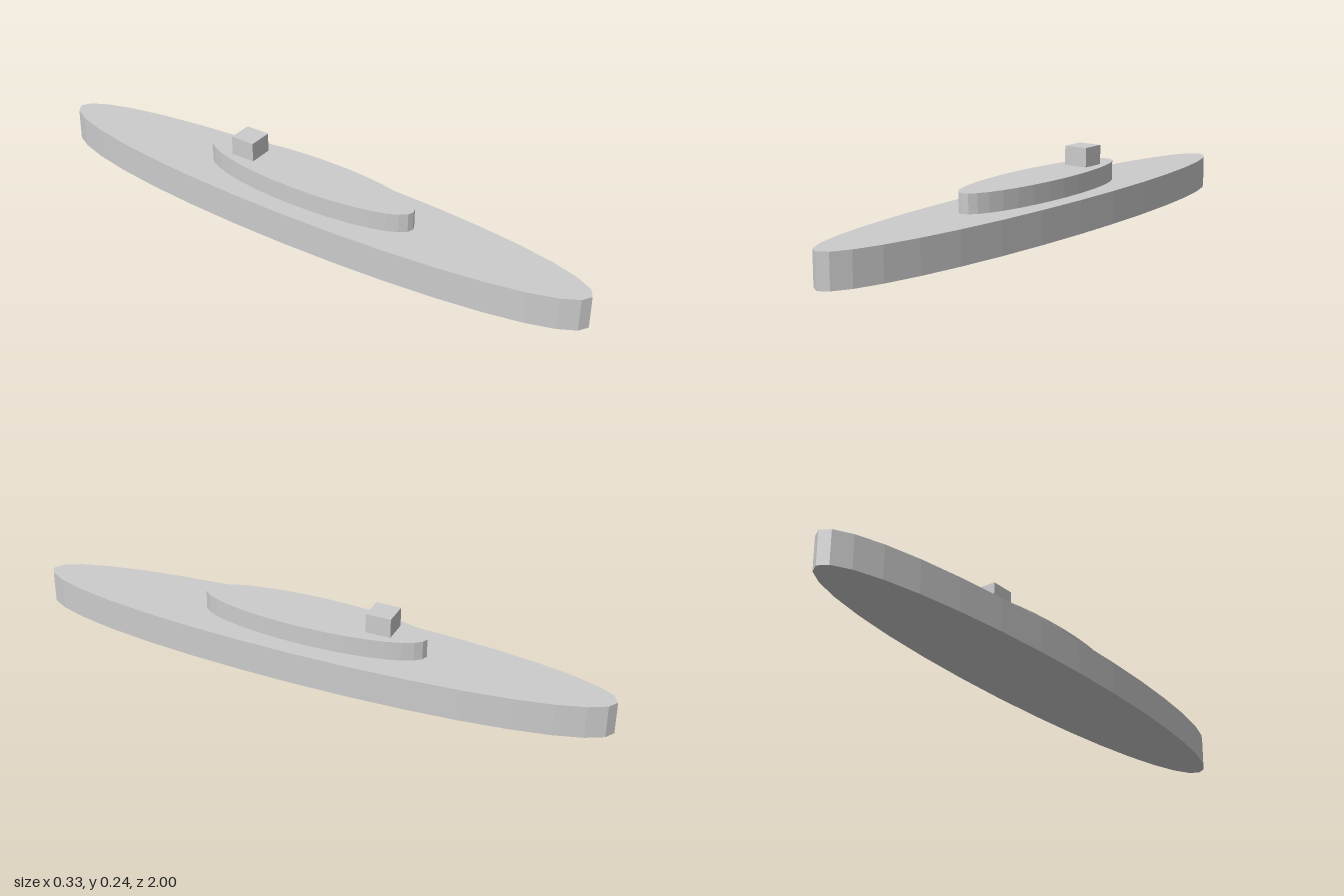
import * as THREE from 'three';

const material = new THREE.MeshStandardMaterial({ color: 0xcccccc, flatShading: true });

// Upright elliptical slab: half width, half length, bottom and top heights
function slab(name, halfWidth, halfLength, bottom, top) {
  const geometry = new THREE.CylinderGeometry(1, 1, top - bottom, 32);
  geometry.scale(halfWidth, 1, halfLength);
  const mesh = new THREE.Mesh(geometry, material);
  mesh.name = name;
  mesh.position.y = (bottom + top) / 2;
  return mesh;
}

export function createModel() {
  const model = new THREE.Group();
  model.name = 'steppedEllipticalHull';

  // Long hull with a smaller raised deck
  model.add(slab('hull', 0.163, 1, 0, 0.11));
  model.add(slab('upperDeck', 0.099, 0.39, 0.11, 0.174));

  // Small block towards the rear of the deck
  const block = new THREE.Mesh(new THREE.BoxGeometry(0.084, 0.065, 0.084), material);
  block.name = 'deckBlock';
  block.position.set(0, 0.2065, -0.24);
  model.add(block);

  return model;
}
